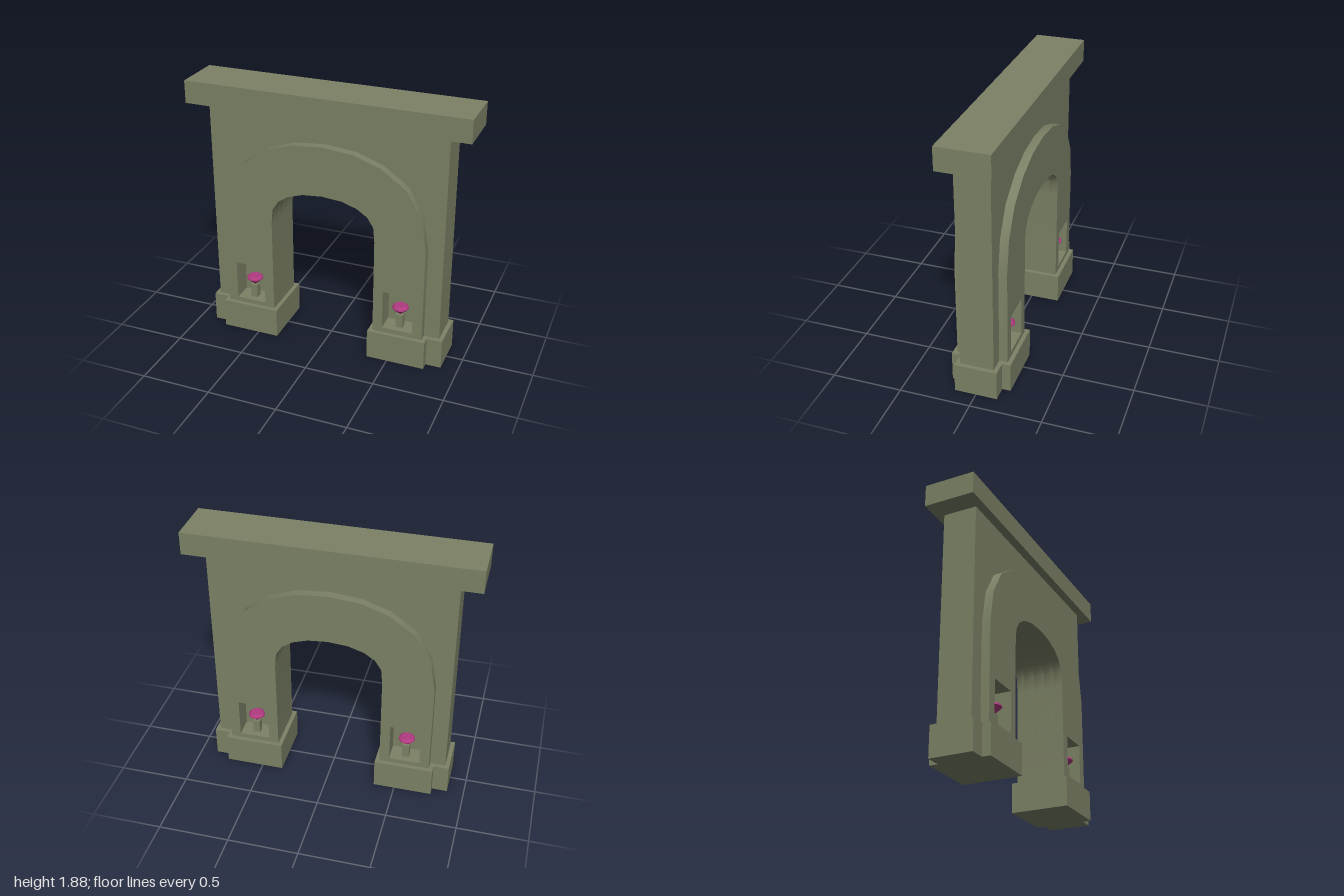
import * as THREE from 'three';
import { toCreasedNormals } from 'three/addons/utils/BufferGeometryUtils.js';

const FOOT = 0.1; // walls start inside the plinths

// Half curves of the archway, from springing to crown
const INNER = [[0.38, 0.91], [0.37, 1.02], [0.325, 1.09], [0.25, 1.14], [0.14, 1.175], [0, 1.187]];
const OUTER = [[0.74, 0.91], [0.70, 1.145], [0.59, 1.335], [0.41, 1.46], [0.22, 1.525], [0, 1.545]];

// Full arch line from right foot over the crown to left foot
function archLine(half) {
  const right = [[half[0][0], FOOT], ...half];
  const left = right.slice(0, -1).reverse().map(([x, y]) => [-x, y]);
  return [...right, ...left];
}

// Outline with the archway cut out, and optionally the niche openings
function wallShape(outline, withNiches) {
  const points = [...outline, ...archLine(INNER).reverse()];
  const shape = new THREE.Shape(points.map(([x, y]) => new THREE.Vector2(x, y)));
  if (withNiches) {
    for (const s of [-1, 1]) {
      const hole = [[0.45, 0.25], [0.67, 0.25], [0.67, 0.54], [0.45, 0.54]];
      shape.holes.push(new THREE.Path(hole.map(([x, y]) => new THREE.Vector2(s * x, y))));
    }
  }
  return shape;
}

export function createModel() {
  const group = new THREE.Group();
  const stone = new THREE.MeshStandardMaterial({ color: 0x7b8165 });
  stone.name = 'mossy stone';
  const pink = new THREE.MeshStandardMaterial({ color: 0xb03a80 });
  pink.name = 'pink crystal';

  const add = (name, geometry, material, x = 0, y = 0, z = 0) => {
    const mesh = new THREE.Mesh(geometry, material);
    mesh.name = name;
    mesh.position.set(x, y, z);
    group.add(mesh);
    return mesh;
  };
  const slab = (name, shape, z0, z1) => {
    const geometry = new THREE.ExtrudeGeometry(shape, { depth: z1 - z0, bevelEnabled: false });
    add(name, toCreasedNormals(geometry, 0.7), stone, 0, 0, z0);
  };

  // Wall: solid core, with pierced layers and raised arch trim on both faces
  const wallOutline = [[0.85, FOOT], [0.85, 1.73], [-0.85, 1.73], [-0.85, FOOT]];
  slab('wallCore', wallShape(wallOutline, false), -0.04, 0.04);
  const pierced = wallShape(wallOutline, true);
  const trim = wallShape(archLine(OUTER), true);
  slab('frontWall', pierced, 0.04, 0.12);
  slab('backWall', pierced, -0.12, -0.04);
  slab('frontArchTrim', trim, 0.12, 0.18);
  slab('backArchTrim', trim, -0.18, -0.12);

  // Lintel
  add('lintel', new THREE.BoxGeometry(2, 0.16, 0.36), stone, 0, 1.8, 0);

  // Plinths with a stepped, cross-like plan
  const plan = [[0.35, -0.21], [0.77, -0.21], [0.77, -0.15], [0.88, -0.15],
    [0.88, 0.15], [0.77, 0.15], [0.77, 0.21], [0.35, 0.21]];
  for (const s of [-1, 1]) {
    const shape = new THREE.Shape(plan.map(([x, z]) => new THREE.Vector2(s * x, z)));
    const geometry = new THREE.ExtrudeGeometry(shape, { depth: 0.215, bevelEnabled: false });
    geometry.rotateX(-Math.PI / 2);
    add(s > 0 ? 'leftPlinth' : 'rightPlinth', geometry, stone);
  }

  // Faceted gem: pointed base, narrow crown, flat top
  const profile = [[0, 0.345], [0.06, 0.4], [0.058, 0.41], [0.042, 0.422], [0, 0.422]];
  const gem = new THREE.LatheGeometry(profile.map(([x, y]) => new THREE.Vector2(x, y)), 10).toNonIndexed();
  gem.computeVertexNormals();

  // A gem on a pedestal in each niche
  for (const x of [-0.56, 0.56]) {
    for (const z of [-0.11, 0.11]) {
      add('pedestal', new THREE.BoxGeometry(0.05, 0.1, 0.05), stone, x, 0.3, z);
      add('gem', gem, pink, x, 0, z);
    }
  }
  return group;
}
